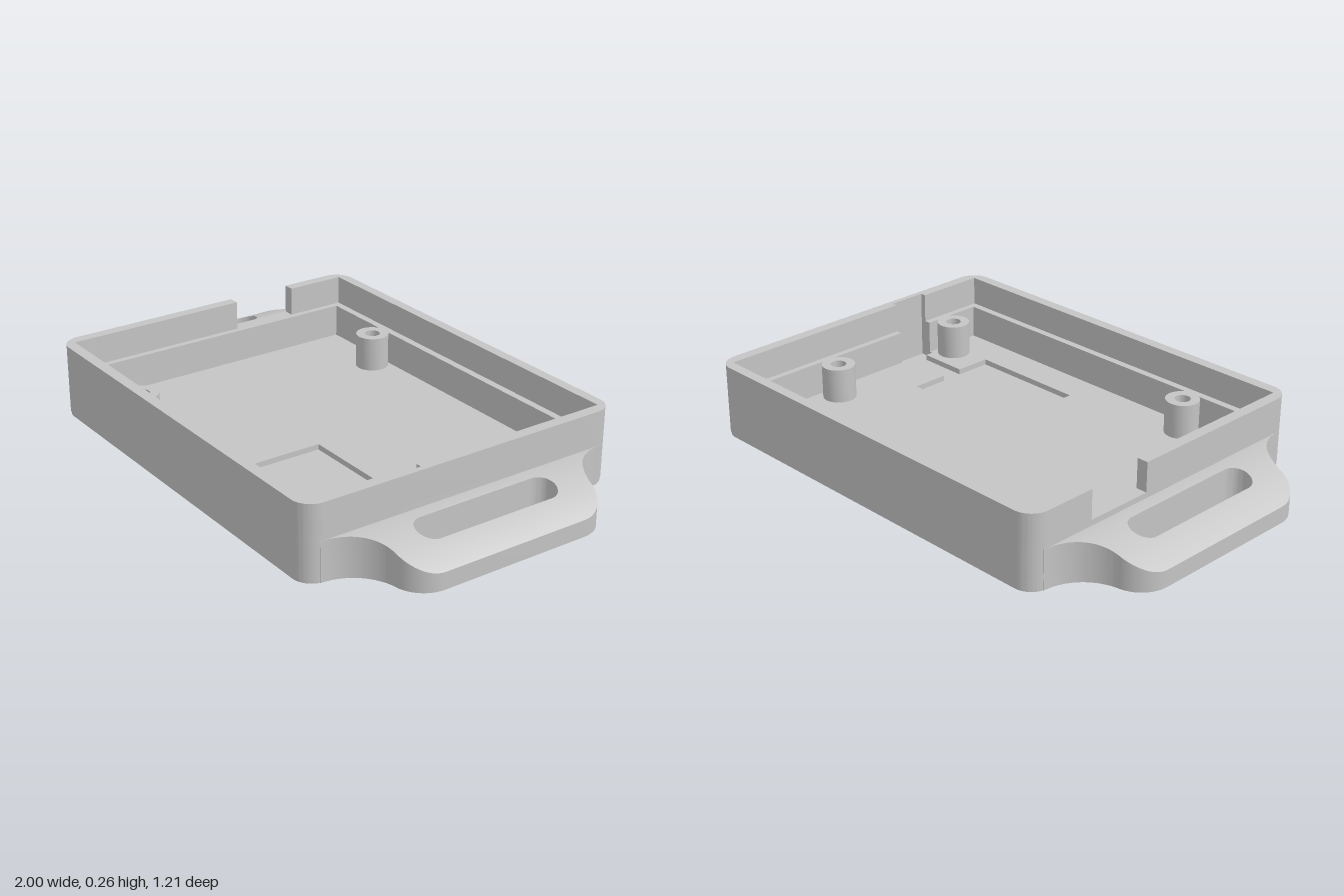
import * as THREE from 'three';
import { toCreasedNormals } from 'three/addons/utils/BufferGeometryUtils.js';

const FLOOR = 0.04, LEDGE = 0.16, TOP = 0.265;
const HX = 0.76, HZ = 0.607, R = 0.07;

// Plan points are [x, z]; shapes are drawn with y = -z and then laid flat.
const lay = (pts) => pts.map(([x, z]) => new THREE.Vector2(x, -z));
// Holes run against the direction of the outline.
const hole = (pts) => new THREE.Path(lay(pts).reverse());

// Rounded outer outline, beginning and ending on the -x side at the port opening
function outerOutline() {
  const s = new THREE.Shape();
  const cx = HX - R, cz = HZ - R;
  s.moveTo(-HX, 0.35);
  s.lineTo(-HX, cz);
  s.absarc(-cx, cz, R, Math.PI, Math.PI / 2, true);
  s.absarc(cx, cz, R, Math.PI / 2, 0, true);
  s.absarc(cx, -cz, R, 0, -Math.PI / 2, true);
  s.absarc(-cx, -cz, R, -Math.PI / 2, -Math.PI, true);
  s.lineTo(-HX, 0.105);
  return s;
}

function slab(shape, y0, y1) {
  const g = new THREE.ExtrudeGeometry(shape, { depth: y1 - y0, bevelEnabled: false, curveSegments: 12 });
  g.rotateX(-Math.PI / 2).translate(0, y0, 0);
  return toCreasedNormals(g, 0.6);
}

// Solid made of rectangular sections along x: z from a(x) to b(x), y from 0 to top(x)
function loft(xs, a, b, top) {
  const pos = [], idx = [];
  for (const x of xs) {
    const y = top(x);
    pos.push(x, 0, a(x), x, 0, b(x), x, y, b(x), x, y, a(x));
  }
  for (let i = 0; i < xs.length - 1; i++) {
    for (let k = 0; k < 4; k++) {
      const p = i * 4 + k, q = i * 4 + (k + 1) % 4;
      idx.push(p, p + 4, q, q, p + 4, q + 4);
    }
  }
  const e = (xs.length - 1) * 4;
  idx.push(0, 1, 2, 0, 2, 3, e, e + 2, e + 1, e, e + 3, e + 2);
  const g = new THREE.BufferGeometry();
  g.setAttribute('position', new THREE.Float32BufferAttribute(pos, 3));
  g.setIndex(idx);
  return toCreasedNormals(g, 0.6);
}

// Stations packed towards both ends
const stations = (x0, x1, n) => Array.from({ length: n + 1 },
  (_, i) => x0 + (x1 - x0) * (1 - Math.cos(Math.PI * i / n)) / 2);

// Strap lug: half width (concave root, rounded corner), slot half length and domed top
const root = (v) => Math.sqrt(Math.max(0, v));
const lugWidth = (x) => x <= 0.906
  ? 0.552 - root(0.17 ** 2 - (x - 0.93) ** 2)
  : 0.275 + root(0.11 ** 2 - (x - 0.89) ** 2);
const slotLength = (x) => 0.22 + root(0.05 ** 2 - (x - 0.855) ** 2);
const lugTop = (x) => 0.14 - 0.08 * (Math.max(0, x - HX) / 0.24) ** 2;

export function createModel() {
  const model = new THREE.Group();
  const grey = new THREE.MeshStandardMaterial({ color: 0xc4c4c4 });
  grey.name = 'grey plastic';
  const add = (name, geometry, parent = model) => {
    const m = new THREE.Mesh(geometry, grey);
    m.name = name;
    parent.add(m);
    return m;
  };

  // Underside, set in slightly at the front and back
  add('bottomPlate', slab(outerOutline(), 0, 0.012)).scale.z = 0.995;
  add('base', slab(outerOutline(), 0.012, 0.02));

  // Floor with a shallow pocket, cable channel and socket
  const floor = outerOutline();
  floor.holes.push(hole([
    [0.06, 0.07], [0.5, 0.07], [0.5, 0.205], [0.685, 0.205], [0.685, 0.17], [0.74, 0.17],
    [0.74, 0.312], [0.685, 0.312], [0.685, 0.283], [0.5, 0.283], [0.5, 0.415], [0.06, 0.415],
  ]));
  add('floor', slab(floor, 0.02, FLOOR));

  // Lower wall up to the lid ledge, with a notch in the +x side
  const wall = outerOutline();
  wall.holes.push(hole([
    [0.697, -0.543], [0.697, 0.17], [0.74, 0.17], [0.74, 0.312], [0.697, 0.312],
    [0.697, 0.54], [-0.697, 0.54], [-0.697, -0.543],
  ]));
  add('lowerWall', slab(wall, FLOOR, LEDGE));

  // Thinner rim, open at the port on the -x side
  const rim = outerOutline();
  for (const p of lay([
    [-0.72, -0.105], [-0.72, 0.567], [0.72, 0.567], [0.72, 0.312], [0.74, 0.312], [0.74, 0.17],
    [0.72, 0.17], [0.72, -0.57], [-0.72, -0.57], [-0.72, -0.35],
  ])) rim.lineTo(p.x, p.y);
  add('rim', slab(rim, LEDGE, TOP));

  // Screw posts
  const ring = new THREE.Shape().absarc(0, 0, 0.06, 0, Math.PI * 2);
  ring.holes.push(new THREE.Path().absarc(0, 0, 0.028, 0, Math.PI * 2));
  const postGeometry = slab(ring, FLOOR, 0.165);
  for (const [x, z] of [[-0.383, -0.483], [0.635, -0.18], [0.635, 0.378], [-0.407, 0.481]]) {
    add('screwPost', postGeometry).position.set(x, 0, z);
  }

  // Strap lugs on both ends
  const neg = (f) => (x) => -f(x);
  const lugParts = [
    loft([0.745, ...stations(HX, 0.805, 10)], neg(lugWidth), lugWidth, lugTop),
    loft(stations(0.805, 0.905, 20), slotLength, lugWidth, lugTop),
    loft(stations(0.805, 0.905, 20), neg(lugWidth), neg(slotLength), lugTop),
    loft(stations(0.905, 1, 14), neg(lugWidth), lugWidth, lugTop),
  ];
  for (const side of ['left', 'right']) {
    const lug = new THREE.Group();
    lug.name = side + 'StrapLug';
    lugParts.forEach((g) => add('lugSection', g, lug));
    if (side === 'right') lug.rotation.y = Math.PI;
    model.add(lug);
  }
  return model;
}
